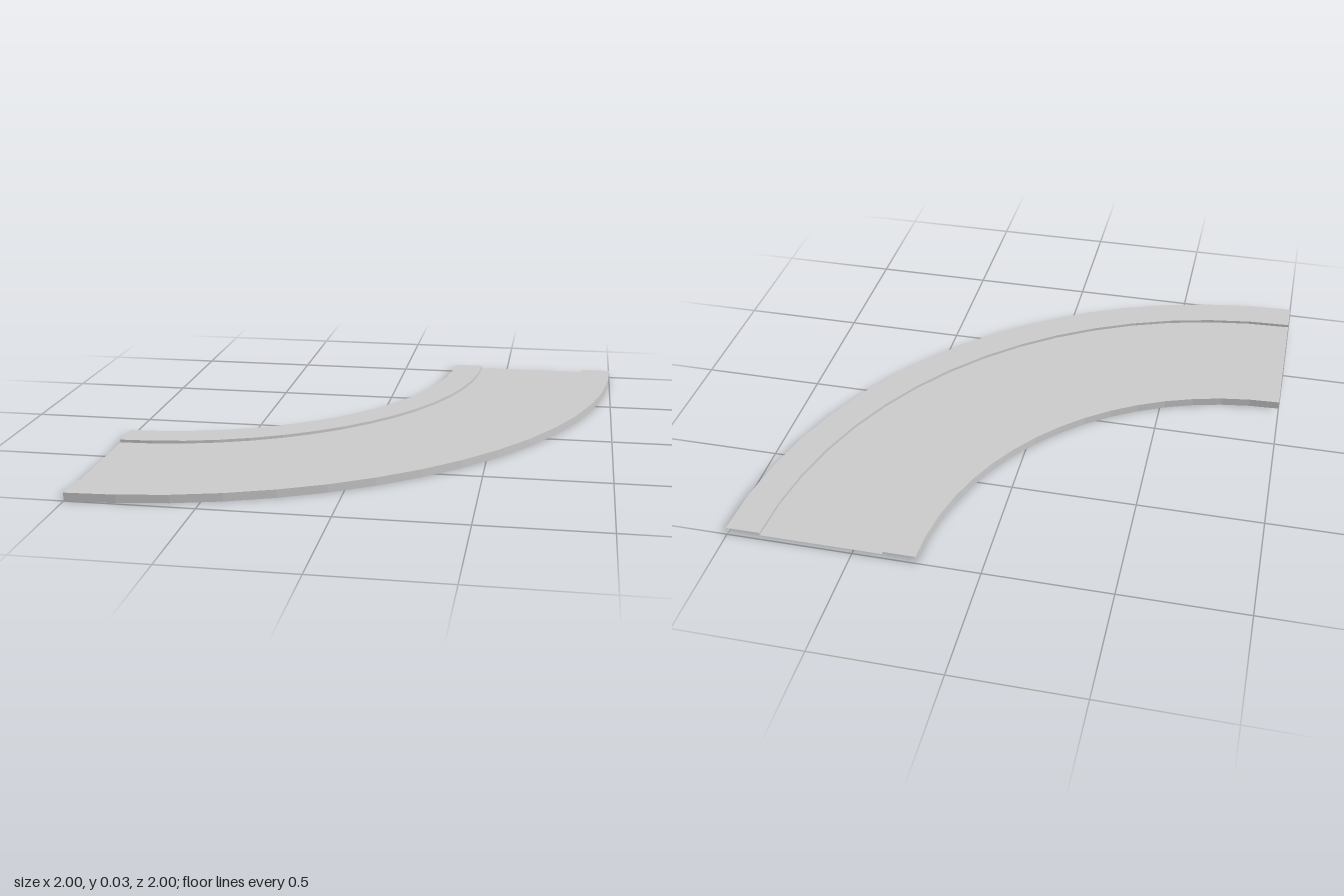
import * as THREE from 'three';

const SEGMENTS = 16;
const TOP = 0.033; // kerb height
const ROAD = 0.021; // roadway height

export function createModel() {
  const model = new THREE.Group();
  model.name = 'curvedRoad';
  const material = new THREE.MeshStandardMaterial({
    color: 0xcccccc, flatShading: true, side: THREE.DoubleSide,
  });

  // Sweeps a [radius, height] profile a quarter turn about the bend's centre
  function sweep(name, profile) {
    const points = profile.map(([r, y]) => new THREE.Vector2(r, y));
    const geometry = new THREE.LatheGeometry(points, SEGMENTS, 0, Math.PI / 2);
    const mesh = new THREE.Mesh(geometry, material);
    mesh.name = name;
    mesh.position.set(-1, 0, -1);
    model.add(mesh);
  }

  // Open-bottomed sheets, each profile running from the outer edge inwards
  sweep('outerKerb', [[2, 0], [2, TOP], [1.865, TOP], [1.865, ROAD]]);
  sweep('roadway', [[1.865, ROAD], [1.38, ROAD]]);
  sweep('innerKerb', [[1.38, ROAD], [1.38, TOP], [1.25, TOP], [1.25, 0]]);

  return model;
}
